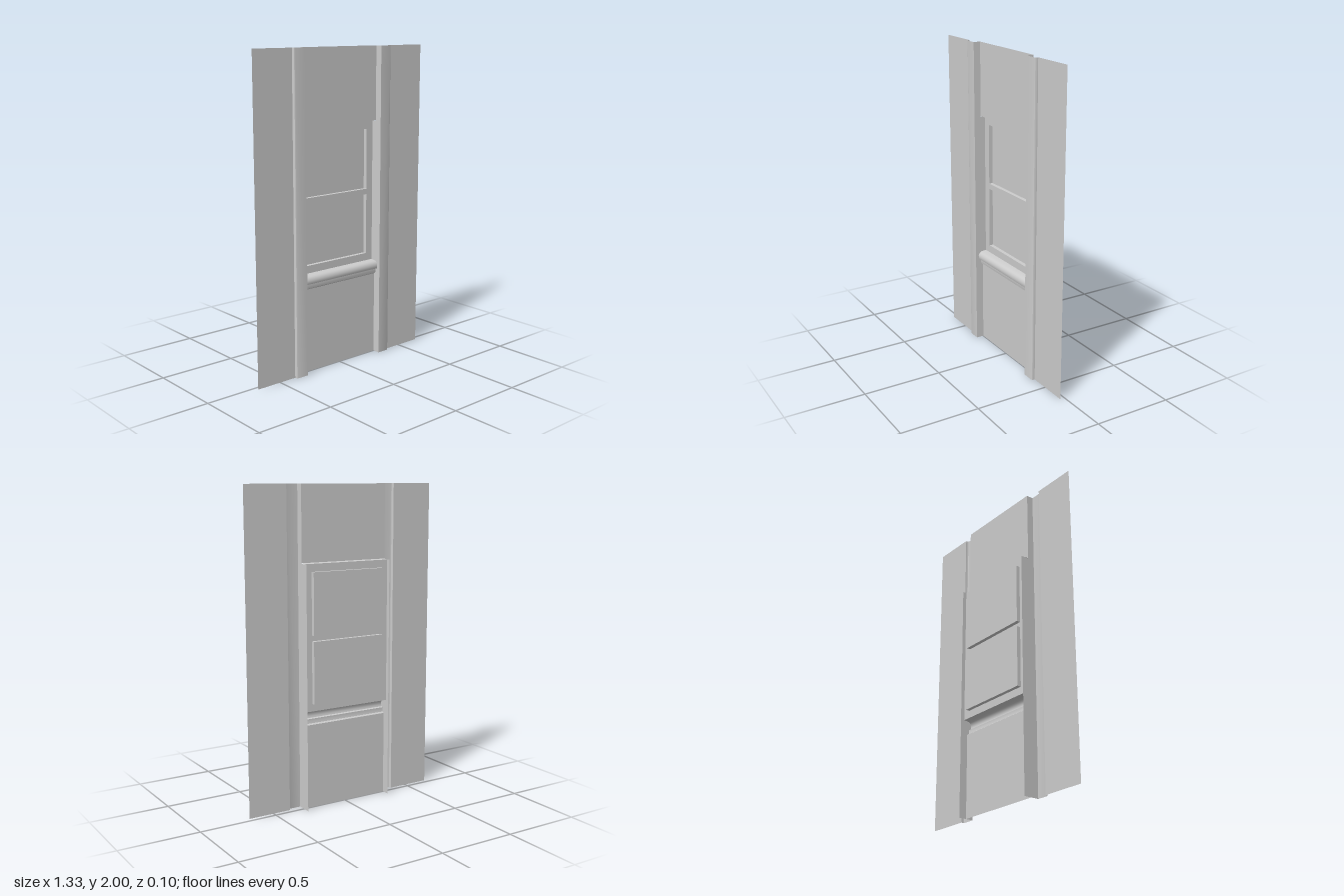
import * as THREE from 'three';
import { toCreasedNormals } from 'three/addons/utils/BufferGeometryUtils.js';

const material = new THREE.MeshStandardMaterial({ color: 0xcccccc, side: THREE.DoubleSide });

// Sheet swept between two ends: place(a, b, end) turns a profile point into a position.
function sheet(name, profile, ends, place, closed = false) {
  const positions = [], index = [];
  const points = closed ? [...profile, profile[0]] : profile;
  points.forEach(([a, b], i) => {
    for (const end of ends) positions.push(...place(a, b, end));
    if (i > 0) {
      const k = 2 * i - 2;
      index.push(k, k + 1, k + 2, k + 1, k + 3, k + 2);
    }
  });
  const geometry = new THREE.BufferGeometry();
  geometry.setAttribute('position', new THREE.Float32BufferAttribute(positions, 3));
  geometry.setIndex(index);
  const mesh = new THREE.Mesh(toCreasedNormals(geometry, 0.7), material);
  mesh.name = name;
  return mesh;
}

const upright = (x, z, y) => [x, y, z];  // (x, z) profile swept up y
const across = (z, y, x) => [x, y, z];   // (z, y) profile swept along x
const inward = (x, y, z) => [x, y, z];   // (x, y) outline swept along z

const rectangle = (x, y0, y1) => [[-x, y0], [x, y0], [x, y1], [-x, y1]];

const HALF = 0.3, TOP = 2, HEAD = 1.53, SILL = 0.625;
const WALL_Z = 0.005, FRAME_Z = -0.025, PANE_Z = -0.05;

export function createModel() {
  const model = new THREE.Group();
  model.name = 'wallWithWindow';

  // Flat side walls, pilasters with an eased outer edge, and deep window returns
  for (const [side, s] of [['left', 1], ['right', -1]]) {
    const mirror = (points) => points.map(([x, z]) => [s * x, z]);
    const group = new THREE.Group();
    group.name = side + 'Side';
    group.add(
      sheet('sideWall', mirror([[0.665, 0.03], [0.385, 0.03]]), [0, TOP], upright),
      sheet('pilaster', mirror([[0.385, 0.03], [0.385, 0.04], [0.382, 0.047], [0.375, 0.05],
        [HALF, 0.05], [HALF, WALL_Z]]), [0, TOP], upright),
      sheet('windowReturn', mirror([[HALF, WALL_Z], [HALF, PANE_Z]]), [0, HEAD], upright)
    );
    model.add(group);
  }

  // Wall above the window, and the shallow ledge at the window head
  const width = [-HALF, HALF];
  model.add(
    sheet('upperWall', [[WALL_Z, TOP], [WALL_Z, HEAD + 0.004]], width, across),
    sheet('windowHead', [[WALL_Z, HEAD + 0.004], [FRAME_Z, HEAD]], width, across)
  );

  // Rounded sill with a small stepped moulding underneath
  model.add(sheet('windowSill', [
    [FRAME_Z, SILL], [0.008, 0.621], [0.019, 0.615], [0.026, 0.606], [0.03, 0.594],
    [0.03, 0.582], [0.027, 0.572], [0.014, 0.568], [0.014, 0.555], [0.011, 0.54], [0, 0.533]
  ], width, across));
  model.add(sheet('lowerWall', [[0, 0.533], [0, 0]], width, across));

  // Window frame with two openings, each holding a recessed pane
  const frame = new THREE.Shape(rectangle(HALF, SILL, HEAD).map((p) => new THREE.Vector2(...p)));
  for (const [name, y0, y1] of [['lower', 0.673, 1.062], ['upper', 1.097, 1.482]]) {
    const outline = rectangle(0.25, y0, y1);
    frame.holes.push(new THREE.Path(outline.map((p) => new THREE.Vector2(...p))));
    model.add(sheet(name + 'PaneRecess', outline, [PANE_Z, FRAME_Z], inward, true));
    const pane = new THREE.Mesh(new THREE.PlaneGeometry(0.5, y1 - y0), material);
    pane.name = name + 'Pane';
    pane.position.set(0, (y0 + y1) / 2, PANE_Z);
    model.add(pane);
  }
  const frameMesh = new THREE.Mesh(new THREE.ShapeGeometry(frame), material);
  frameMesh.name = 'windowFrame';
  frameMesh.position.z = FRAME_Z;
  model.add(frameMesh);

  return model;
}
